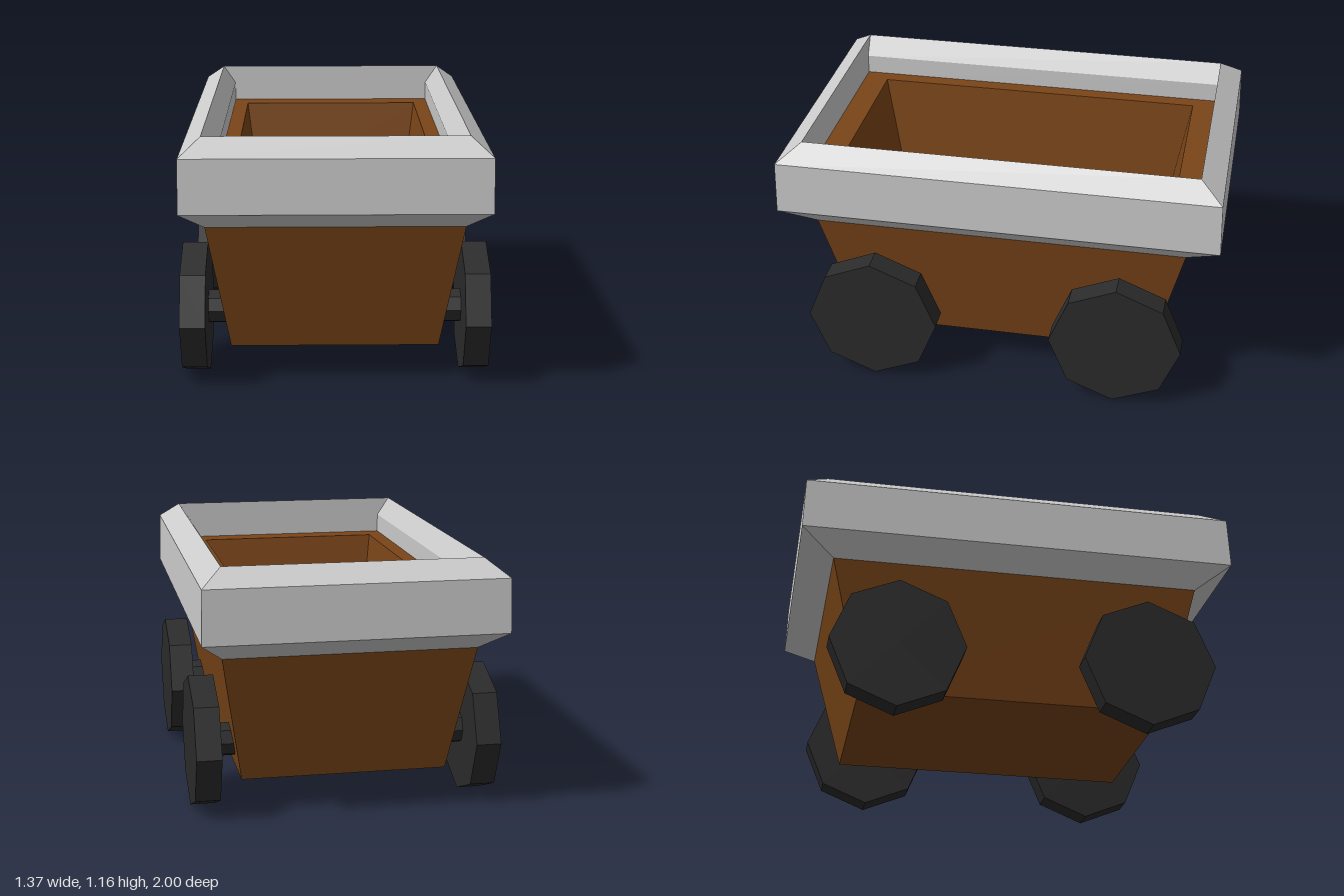
import * as THREE from 'three';

const CORNERS = [[1, 1], [1, -1], [-1, -1], [-1, 1]];

// Skin a series of rectangular rings [halfX, halfZ, y]; a ring of zero size is a closing point
function rectLoft(rings) {
  const pos = [];
  const point = ([hx, hz, y], i) => [CORNERS[i % 4][0] * hx, y, CORNERS[i % 4][1] * hz];
  for (let k = 0; k < rings.length - 1; k++) {
    const lower = rings[k], upper = rings[k + 1];
    for (let i = 0; i < 4; i++) {
      const a = point(lower, i), b = point(lower, i + 1);
      const c = point(upper, i + 1), d = point(upper, i);
      if (lower[0] > 0) pos.push(...a, ...b, ...c);
      if (upper[0] > 0) pos.push(...a, ...c, ...d);
    }
  }
  const geo = new THREE.BufferGeometry();
  geo.setAttribute('position', new THREE.Float32BufferAttribute(pos, 3));
  geo.computeVertexNormals();
  return geo;
}

export function createModel() {
  const cart = new THREE.Group();
  cart.name = 'cart';
  const material = (color) => new THREE.MeshStandardMaterial({ color, flatShading: true });
  const wood = material(0x7a4518);
  const metal = material(0xcccccc);
  const black = material(0x2b2b2b);

  const add = (name, geometry, mat, x = 0, y = 0, z = 0) => {
    const mesh = new THREE.Mesh(geometry, mat);
    mesh.name = name;
    mesh.position.set(x, y, z);
    cart.add(mesh);
    return mesh;
  };

  // Tapered hopper: underside, outer walls, ledge, inner walls, floor
  add('hopper', rectLoft([
    [0, 0, 0.155], [0.467, 0.70, 0.155], [0.565, 0.847, 0.75], [0.58, 0.9, 0.98],
    [0.44, 0.775, 0.98], [0.375, 0.68, 0.47], [0, 0, 0.47],
  ]), wood);

  // Heavy bevelled rim around the top
  add('rim', rectLoft([
    [0.565, 0.847, 0.75], [0.667, 1, 0.845], [0.663, 0.993, 1.085],
    [0.57, 0.89, 1.16], [0.51, 0.89, 1.07], [0.51, 0.89, 0.97],
  ]), metal);

  // Eight-sided wheels and axles, a corner pointing up
  const wheelGeo = new THREE.CylinderGeometry(0.303, 0.303, 0.113, 8).rotateZ(Math.PI / 2);
  const axleGeo = new THREE.CylinderGeometry(0.078, 0.078, 1.16, 8).rotateZ(Math.PI / 2);
  for (const [end, z] of [['front', 0.58], ['back', -0.555]]) {
    add(end + 'Axle', axleGeo, black, 0, 0.303, z);
    for (const [side, s] of [['Left', 1], ['Right', -1]]) {
      add(end + side + 'Wheel', wheelGeo, black, s * 0.6265, 0.303, z);
    }
  }
  return cart;
}
